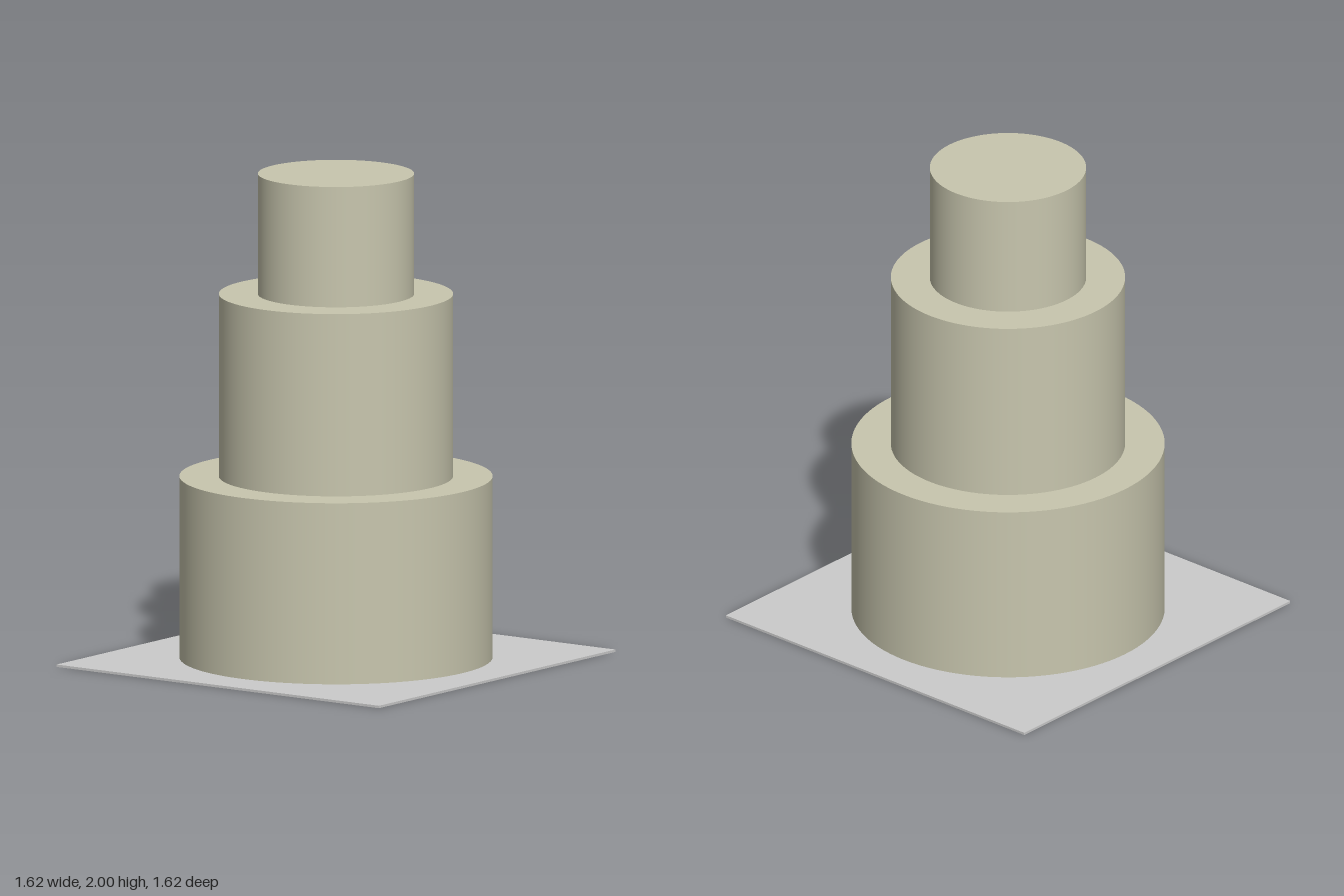
import * as THREE from 'three';

export function createModel() {
  const model = new THREE.Group();
  const stone = new THREE.MeshStandardMaterial({ color: 0xc8c6ae });
  const grey = new THREE.MeshStandardMaterial({ color: 0xcccccc });

  // Thin square ground plate
  const plateHeight = 0.01;
  const plate = new THREE.Mesh(new THREE.BoxGeometry(1.62, plateHeight, 1.62), grey);
  plate.name = 'basePlate';
  plate.position.y = plateHeight / 2;
  model.add(plate);

  // Three stacked round tiers, each narrower than the one below
  const tiers = [
    { name: 'lowerTier', radius: 0.635, top: 0.755 },
    { name: 'middleTier', radius: 0.475, top: 1.505 },
    { name: 'upperTier', radius: 0.317, top: 2 },
  ];
  let bottom = plateHeight;
  for (const { name, radius, top } of tiers) {
    const tier = new THREE.Mesh(new THREE.CylinderGeometry(radius, radius, top - bottom, 96), stone);
    tier.name = name;
    tier.position.y = (bottom + top) / 2;
    model.add(tier);
    bottom = top;
  }

  return model;
}
